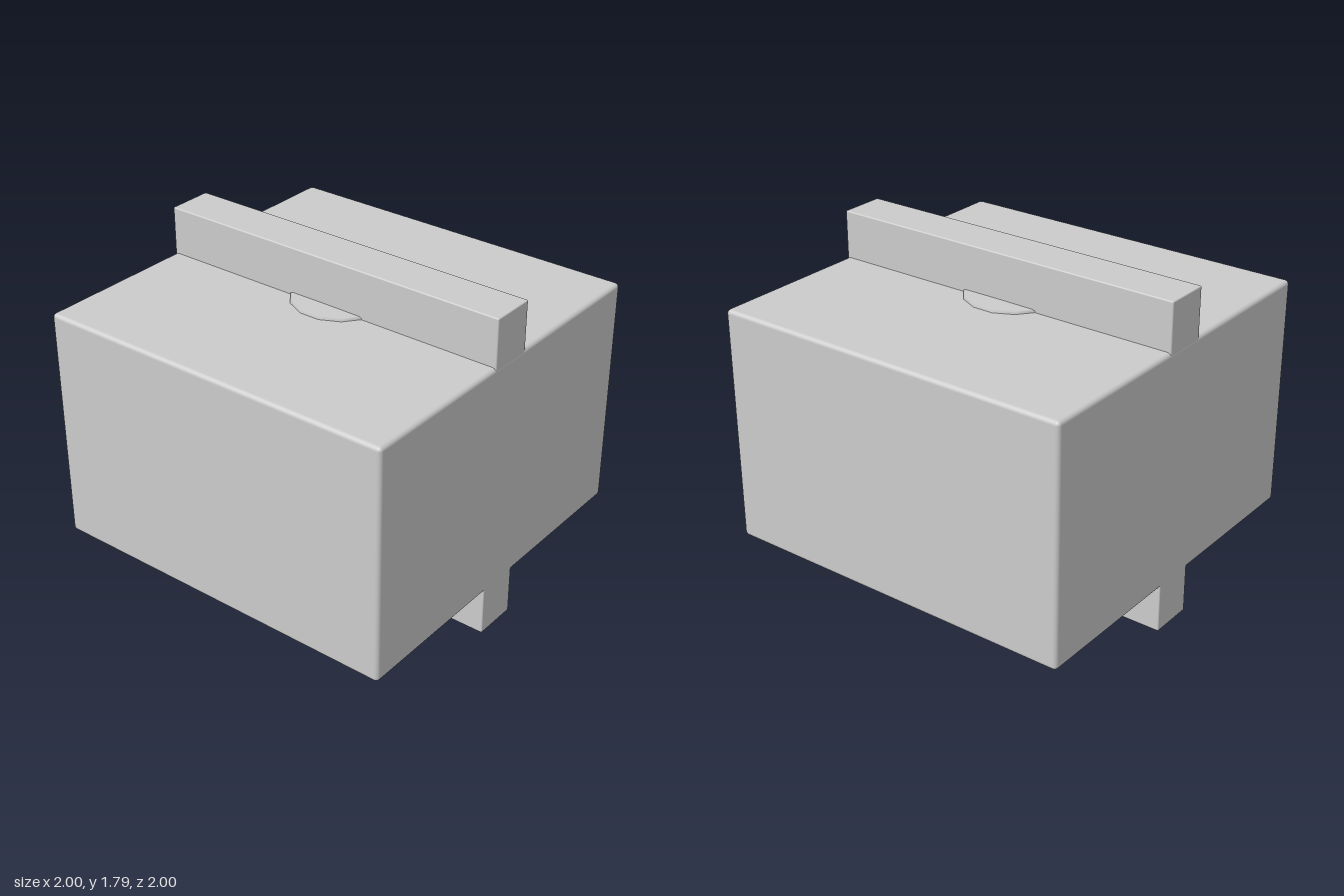
import * as THREE from 'three';
import { RoundedBoxGeometry } from 'three/addons/geometries/RoundedBoxGeometry.js';

const material = new THREE.MeshStandardMaterial({ color: 0xcccccc });

export function createModel() {
  const model = new THREE.Group();
  const add = (name, geometry, y) => {
    const mesh = new THREE.Mesh(geometry, material);
    mesh.name = name;
    mesh.position.y = y;
    model.add(mesh);
  };

  // Main block with small softened edges
  add('block', new RoundedBoxGeometry(2, 1.275, 2, 2, 0.022), 0.893);

  // Upright slab through the block, standing out as a rail above and below
  add('rail', new RoundedBoxGeometry(0.245, 1.786, 1.998, 2, 0.007), 0.893);

  // Shallow 14-sided button on top, crossed by the rail
  const profile = [[0.256, -0.03], [0.256, 0.008], [0.246, 0.014], [0, 0.016]];
  add('button', new THREE.LatheGeometry(profile.map(([r, y]) => new THREE.Vector2(r, y)), 14), 1.53);

  return model;
}
